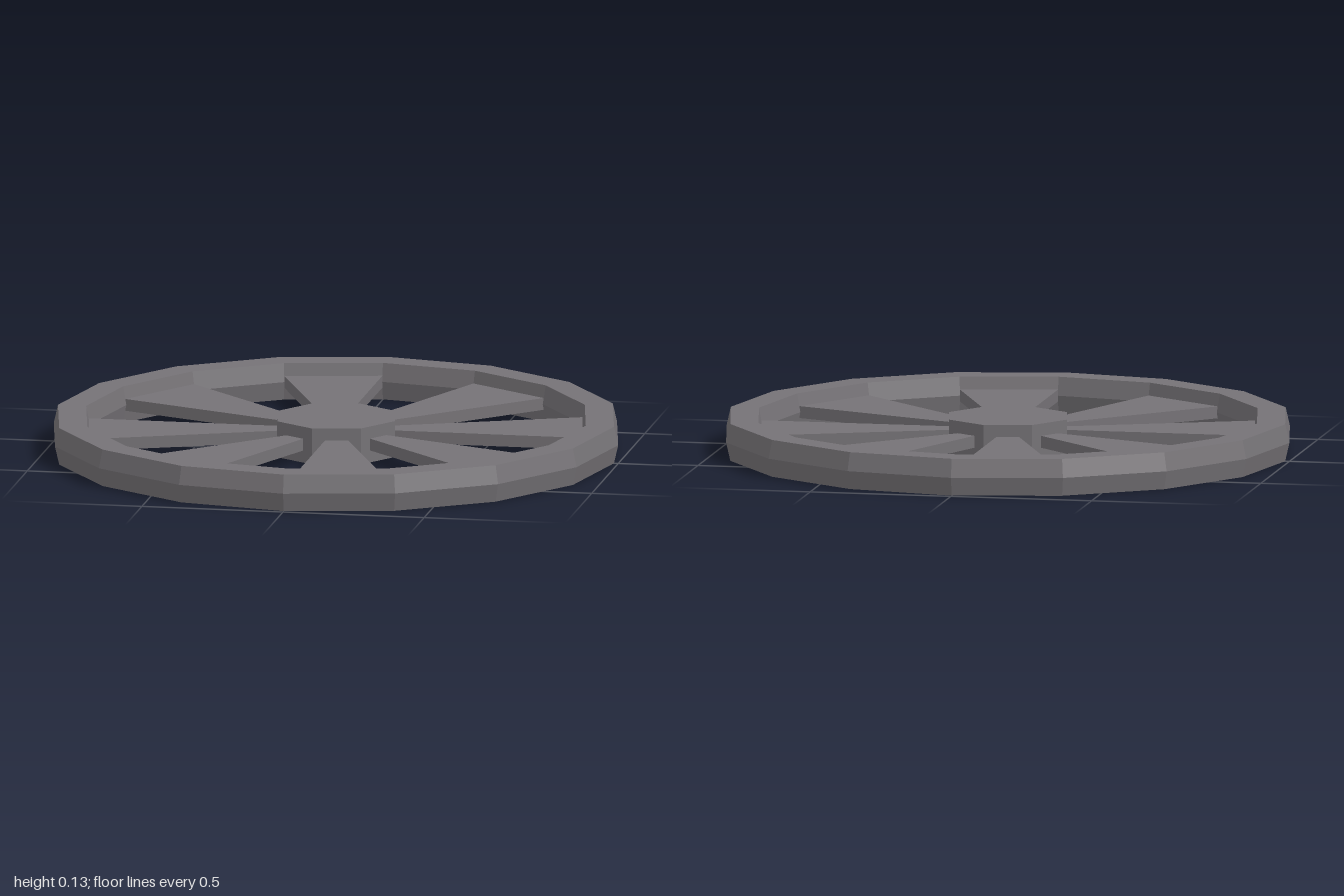
import * as THREE from 'three';

const HEIGHT = 0.13;
const SPOKES = 8;

export function createModel() {
  const model = new THREE.Group();
  model.name = 'wheel';
  const material = new THREE.MeshStandardMaterial({ color: 0x757276, flatShading: true });

  const add = (name, geometry, parent = model) => {
    const mesh = new THREE.Mesh(geometry, material);
    mesh.name = name;
    parent.add(mesh);
    return mesh;
  };

  // Rim: sixteen-sided ring, slightly ridged on its outer and inner walls
  const profile = [
    [0.985, 0], [1, HEIGHT / 2], [0.985, HEIGHT],
    [0.885, HEIGHT], [0.872, HEIGHT / 2], [0.885, 0], [0.985, 0],
  ].map(([r, y]) => new THREE.Vector2(r, y));
  add('rim', new THREE.LatheGeometry(profile, 16));

  // Hub: octagonal block, corners centred on the gaps between spokes
  const hub = new THREE.CylinderGeometry(0.222, 0.222, HEIGHT - 0.002, 8, 1, false, THREE.MathUtils.degToRad(33.75));
  add('hub', hub.translate(0, HEIGHT / 2, 0));

  // Spokes: flat radial wedges, each spanning one side of the rim
  const spokes = new THREE.Group();
  spokes.name = 'spokes';
  model.add(spokes);

  const sweep = Math.PI / 8, inner = 0.19, outer = 0.88, thickness = 0.042;
  const wedge = new THREE.Shape([
    new THREE.Vector2(inner, 0),
    new THREE.Vector2(outer, 0),
    new THREE.Vector2(outer * Math.cos(sweep), outer * Math.sin(sweep)),
    new THREE.Vector2(inner * Math.cos(sweep), inner * Math.sin(sweep)),
  ]);
  const spoke = new THREE.ExtrudeGeometry(wedge, { depth: thickness, bevelEnabled: false });
  spoke.rotateX(-Math.PI / 2).translate(0, (HEIGHT - thickness) / 2, 0);
  for (let i = 0; i < SPOKES; i++) {
    add(`spoke${i + 1}`, spoke, spokes).rotation.y = (i / SPOKES) * Math.PI * 2;
  }

  return model;
}
